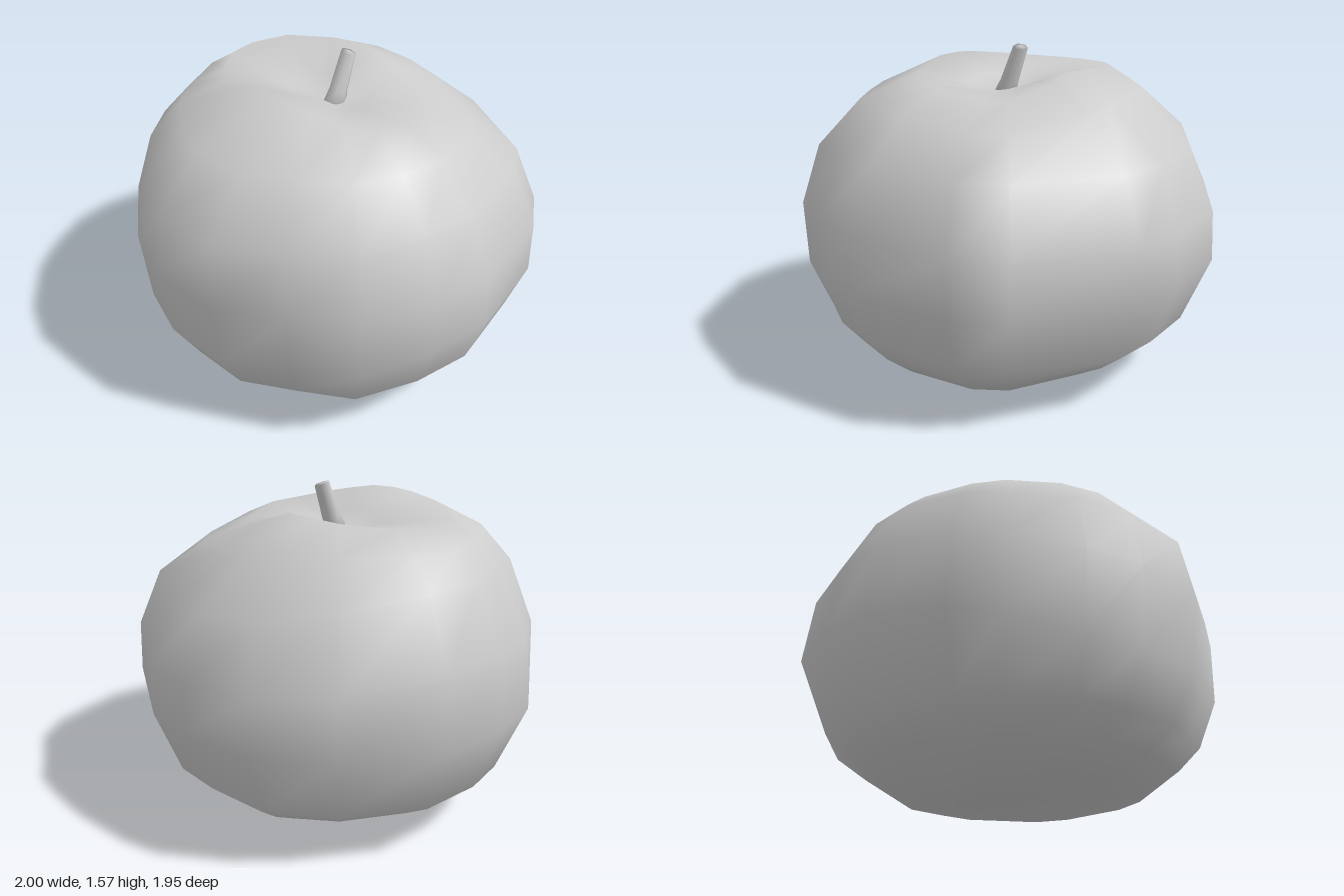
import * as THREE from 'three';

// [radius, height] from the base up over the shoulder into the stem hollow, one per side
const right = [[0.28, 0.01], [0.68, 0.1], [0.82, 0.22], [0.92, 0.35], [1, 0.6], [0.99, 0.86], [0.87, 1.14], [0.68, 1.33], [0.48, 1.41], [0.2, 1.375]];
const left = [[0.25, 0.02], [0.46, 0.015], [0.67, 0.15], [0.86, 0.28], [1, 0.62], [0.96, 0.95], [0.81, 1.25], [0.7, 1.36], [0.58, 1.44], [0.22, 1.38]];
const front = [[0.25, 0.01], [0.56, 0.05], [0.7, 0.14], [0.82, 0.23], [0.94, 0.45], [0.98, 0.82], [0.93, 1.1], [0.72, 1.34], [0.36, 1.5], [0.15, 1.41]];
const back = [[0.3, 0.05], [0.58, 0.08], [0.73, 0.18], [0.85, 0.28], [0.97, 0.6], [0.96, 0.83], [0.85, 1.12], [0.58, 1.36], [0.34, 1.47], [0.15, 1.4]];

// How far the back left shoulder sinks at each of those levels
const dent = [0, 0, 0, 0, 0, 0, 0.01, 0.07, 0.06, 0];

// Uneven outline seen from above, [x, z]
const outline = [
  [1, 0.06], [0.93, 0.35], [0.78, 0.64], [0.51, 0.8], [0.22, 0.96], [-0.13, 0.97], [-0.38, 0.89], [-0.67, 0.69], [-0.81, 0.52],
  [-0.97, 0.19], [-1, -0.08], [-0.94, -0.42], [-0.66, -0.77], [-0.33, -0.97], [0.03, -0.98], [0.3, -0.95], [0.8, -0.64], [0.93, -0.42],
];

// Closed skin through rings of equal count, with a point at each end
function skin(rings, bottom, top) {
  const n = rings[0].length;
  const positions = [...rings.flat(2), ...bottom, ...top];
  const base = rings.length * n;
  const index = [];
  for (let i = 0; i < n; i++) {
    const k = (i + 1) % n;
    index.push(base, i, k);
    for (let j = 0; j < rings.length - 1; j++) {
      const a = j * n + i, b = j * n + k;
      index.push(a, a + n, b, b, a + n, b + n);
    }
    const last = (rings.length - 1) * n;
    index.push(last + i, base + 1, last + k);
  }
  const geometry = new THREE.BufferGeometry();
  geometry.setAttribute('position', new THREE.Float32BufferAttribute(positions, 3));
  geometry.setIndex(index);
  geometry.computeVertexNormals();
  return geometry;
}

export function createModel() {
  const group = new THREE.Group();
  const material = new THREE.MeshStandardMaterial({ color: 0xcccccc });

  // Fruit body: blend the four side profiles around the outline
  const rings = right.map((_, j) => outline.map(([x, z]) => {
    const size = Math.hypot(x, z), c = x / size, s = z / size;
    const px = (c > 0 ? right : left)[j], pz = (s > 0 ? front : back)[j];
    const blend = (i) => px[i] * c * c + pz[i] * s * s;
    const r = blend(0) * size / (c * c + 0.975 * s * s);
    const sink = c > 0 && s < 0 ? -2 * c * s * dent[j] : 0;
    return [r * c, blend(1) - sink, r * s];
  }));
  const body = new THREE.Mesh(skin(rings, [0, 0.03, 0], [0.02, 1.34, 0]), material);
  body.name = 'fruitBody';
  group.add(body);

  // Stem: short tapered stalk leaning backwards out of the hollow
  const stemRings = [[0.055, 1.33, 0], [0.043, 1.4, -0.03], [0.035, 1.565, -0.096]].map(([r, y, z]) =>
    Array.from({ length: 6 }, (_, i) => {
      const a = i * Math.PI / 3;
      return [0.03 + r * Math.cos(a), y - 0.2 * r * Math.cos(a) + 0.25 * r * Math.sin(a), z + r * Math.sin(a)];
    }));
  const stem = new THREE.Mesh(skin(stemRings, [0.03, 1.32, 0], [0.03, 1.568, -0.097]), material);
  stem.name = 'stem';
  group.add(stem);

  return group;
}
